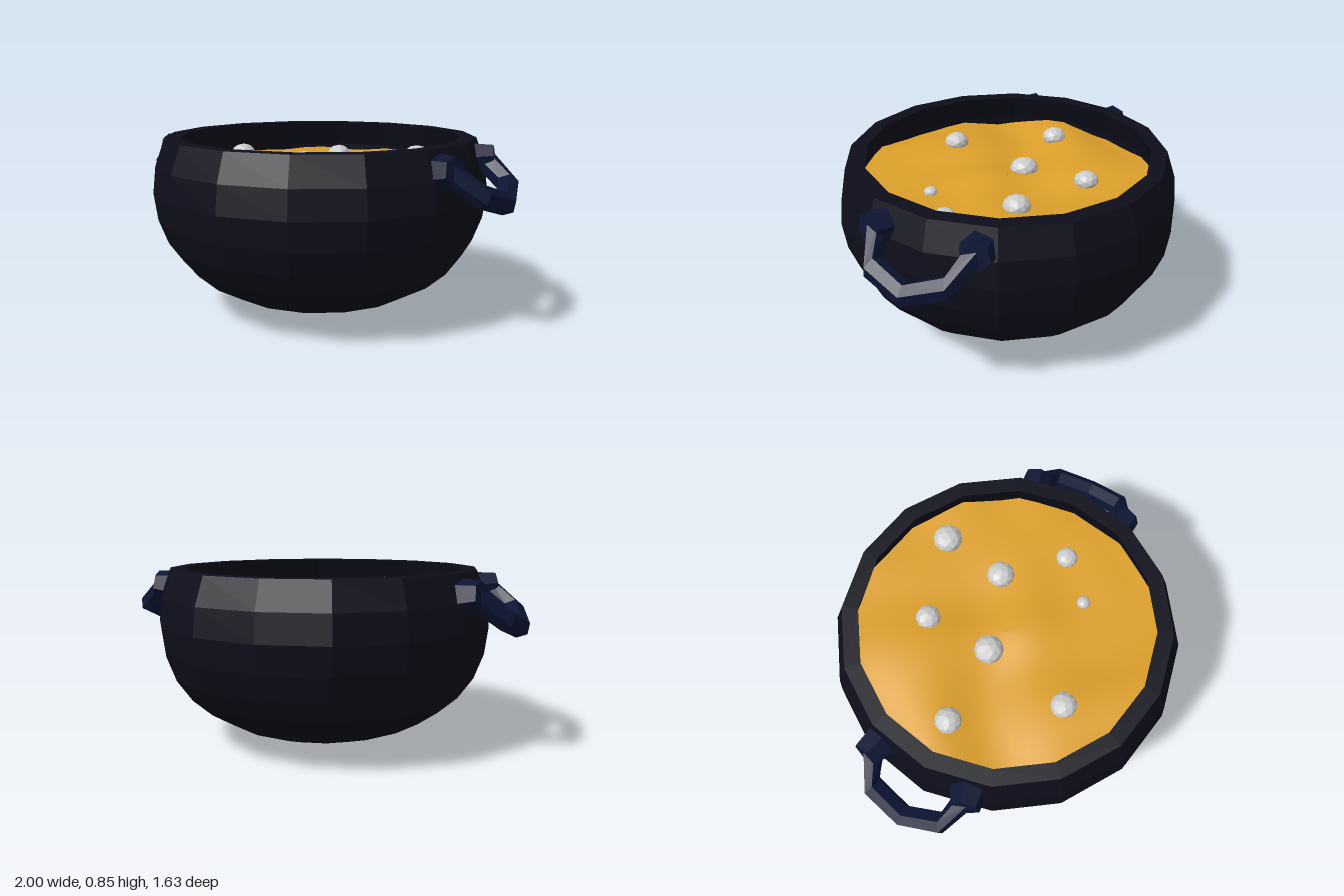
import * as THREE from 'three';

const paint = (color, flatShading = true) => {
  const m = new THREE.MeshStandardMaterial({ color });
  m.flatShading = flatShading;
  return m;
};

function add(parent, name, geometry, material) {
  const mesh = new THREE.Mesh(geometry, material);
  mesh.name = name;
  parent.add(mesh);
  return mesh;
}

// Gentle swirls on the surface of the stew
const SOUP_Y = 0.7;
const soupHeight = (x, z) =>
  SOUP_Y + 0.013 * Math.sin(7 * x + 3 * Math.sin(4 * z)) + 0.011 * Math.cos(9 * z - 2.5 * Math.sin(5 * x));

function soupGeometry() {
  const g = new THREE.RingGeometry(0.001, 0.735, 48, 14);
  g.rotateX(-Math.PI / 2);
  const p = g.attributes.position;
  for (let i = 0; i < p.count; i++) p.setY(i, soupHeight(p.getX(i), p.getZ(i)));
  g.computeVertexNormals();
  return g;
}

// Angular loop handle with a six-sided mounting plate at each end
function makeHandle(material) {
  const handle = new THREE.Group();
  const path = new THREE.CatmullRomCurve3([
    new THREE.Vector3(0.76, 0.765, 0.235),
    new THREE.Vector3(0.9, 0.66, 0.185),
    new THREE.Vector3(0.95, 0.602, 0),
    new THREE.Vector3(0.9, 0.66, -0.185),
    new THREE.Vector3(0.76, 0.765, -0.235),
  ], false, 'catmullrom', 0);
  add(handle, 'handleBar', new THREE.TubeGeometry(path, 4, 0.052, 6), material);
  for (const s of [1, -1]) {
    const plate = add(handle, 'handlePlate', new THREE.CylinderGeometry(0.066, 0.083, 0.09, 6), material);
    plate.position.set(0.77, 0.757, 0.235 * s);
    const outward = new THREE.Vector3(1, 0.15, 0.3 * s).normalize();
    plate.quaternion.setFromUnitVectors(new THREE.Vector3(0, 1, 0), outward);
  }
  return handle;
}

export function createModel() {
  const model = new THREE.Group();
  model.name = 'stewPot';

  // Round-bottomed pot: outer wall, flat rim, inner wall
  const profile = [
    [0, 0], [0.16, 0.007], [0.315, 0.037], [0.46, 0.085], [0.587, 0.155], [0.682, 0.238],
    [0.755, 0.34], [0.8, 0.46], [0.817, 0.59], [0.802, 0.72], [0.755, 0.85],
    [0.68, 0.85], [0.728, 0.72], [0.74, 0.59], [0.68, 0.36], [0.42, 0.15], [0, 0.08],
  ].map(([r, y]) => new THREE.Vector2(r, y));
  const pot = add(model, 'pot', new THREE.LatheGeometry(profile, 16), paint(0x0d0e1b));
  pot.position.x = 0.005;

  // Stew
  const soup = add(model, 'soup', soupGeometry(), paint(0xdc9f2a, false));
  soup.position.x = 0.005;

  // Floating chunks: x, z, radius
  const chunks = [
    [0.31, -0.485, 0.072], [-0.1, -0.365, 0.06], [0.26, -0.165, 0.067], [-0.5, 0.035 - 0.07, 0.063],
    [-0.11, -0.035, 0.07], [0.49, 0.08, 0.053], [0.31, 0.255, 0.033], [-0.2, 0.395, 0.062],
  ];
  const grey = paint(0xcccccc);
  chunks.forEach(([x, z, r], i) => {
    const chunk = add(model, 'chunk', new THREE.IcosahedronGeometry(r, 1), grey);
    chunk.scale.y = 0.75;
    chunk.rotation.y = i * 1.3;
    chunk.position.set(x, soupHeight(x, z) + r * 0.15, z);
  });

  // Handles on both sides
  const iron = paint(0x0c1534);
  const left = makeHandle(iron);
  left.name = 'leftHandle';
  left.position.z = 0.005;
  const right = makeHandle(iron);
  right.name = 'rightHandle';
  right.rotation.y = Math.PI;
  right.position.z = -0.025;
  model.add(left, right);

  return model;
}
